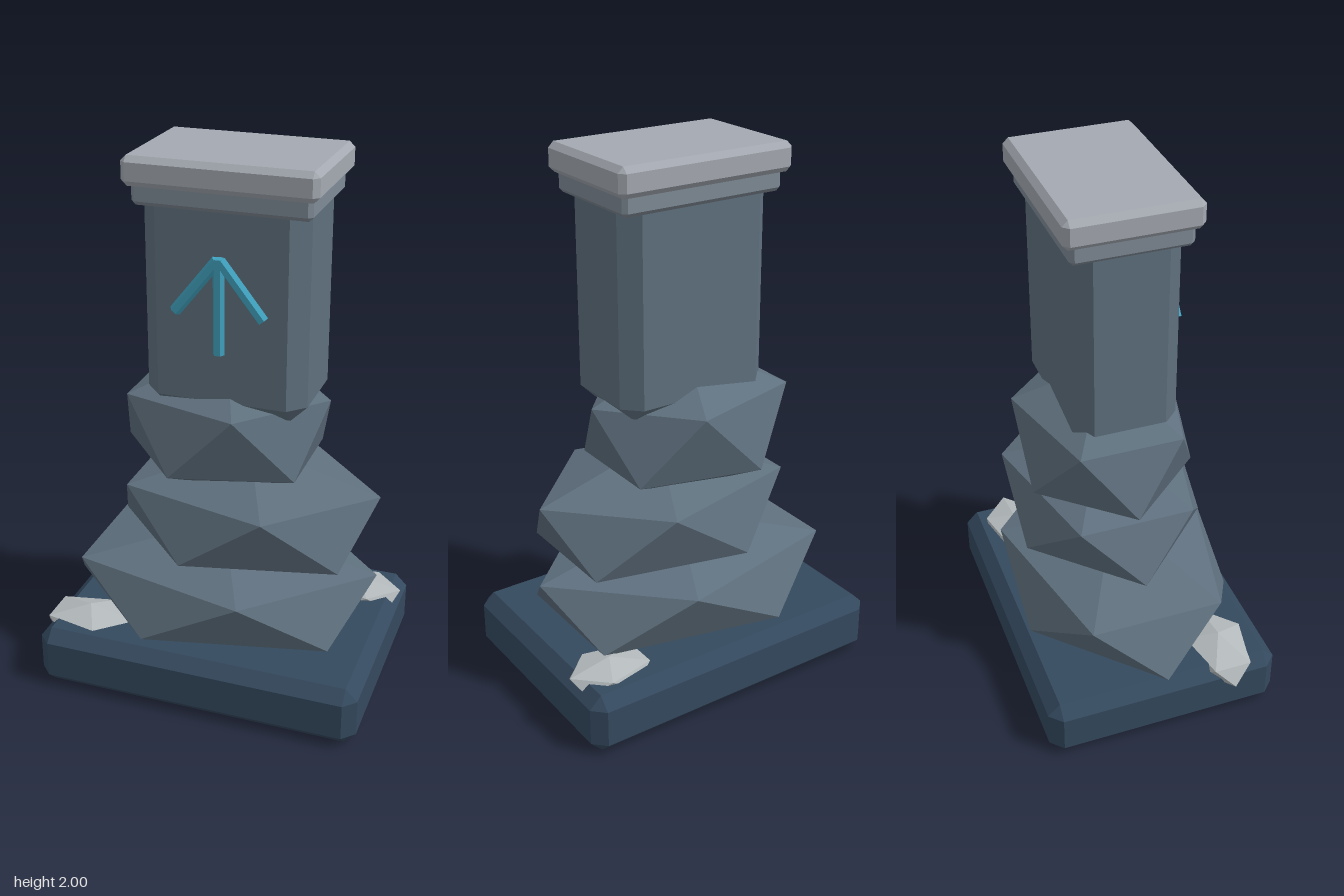
import * as THREE from 'three';
import { ConvexGeometry } from 'three/addons/geometries/ConvexGeometry.js';

const mat = (color) => new THREE.MeshStandardMaterial({ color, flatShading: true });

const slate = mat(0x34495e);
const stone = mat(0x5f707e);
const trim = mat(0x7f8b96);
const capStone = mat(0xa4a9b1);
const pale = mat(0xb4babc);
const glow = mat(0x3fa0bd);

// Box given by its extents, with every edge cut by a flat chamfer c
function chamferBox(name, [x0, x1], [y0, y1], [z0, z1], c, material) {
  const h = [(x1 - x0) / 2, (y1 - y0) / 2, (z1 - z0) / 2];
  const pts = [];
  for (const sx of [-1, 1]) for (const sy of [-1, 1]) for (const sz of [-1, 1]) {
    for (let axis = 0; axis < 3; axis++) {
      const p = h.map((v, i) => (i === axis ? v : v - c));
      pts.push(new THREE.Vector3(sx * p[0], sy * p[1], sz * p[2]));
    }
  }
  const mesh = new THREE.Mesh(new ConvexGeometry(pts), material);
  mesh.name = name;
  mesh.position.set((x0 + x1) / 2, (y0 + y1) / 2, (z0 + z1) / 2);
  return mesh;
}

// Icosahedron standing on a vertex: two poles and two staggered rings of five
function rockGeometry() {
  const pts = [new THREE.Vector3(0, 1, 0), new THREE.Vector3(0, -1, 0)];
  const y = 1 / Math.sqrt(5), r = 2 * y;
  for (let i = 0; i < 5; i++) {
    const a = (i * 2 * Math.PI) / 5;
    pts.push(new THREE.Vector3(r * Math.cos(a), y, r * Math.sin(a)));
    pts.push(new THREE.Vector3(-r * Math.cos(a), -y, r * Math.sin(a)));
  }
  return new ConvexGeometry(pts);
}

// Six-sided rod between two points
function rod(name, from, to, radius) {
  const a = new THREE.Vector3(...from), b = new THREE.Vector3(...to);
  const dir = b.clone().sub(a);
  const geo = new THREE.CylinderGeometry(radius, radius, dir.length(), 6);
  geo.rotateY(Math.PI / 6);
  const mesh = new THREE.Mesh(geo, glow);
  mesh.name = name;
  mesh.position.copy(a).add(b).multiplyScalar(0.5);
  mesh.quaternion.setFromUnitVectors(new THREE.Vector3(0, 1, 0), dir.normalize());
  return mesh;
}

export function createModel() {
  const model = new THREE.Group();
  model.name = 'stonePillar';

  // Plinth
  model.add(chamferBox('base', [-0.6, 0.63], [0, 0.23], [-0.445, 0.445], 0.045, slate));

  // Stacked boulders and the two loose stones: name, centre, radii, material
  const geo = rockGeometry();
  const rocks = [
    ['lowerBoulder', [-0.007, 0.362, 0], [0.667, 0.226, 0.47], stone],
    ['middleBoulder', [0.087, 0.67, -0.016], [0.556, 0.246, 0.406], stone],
    ['upperBoulder', [-0.01, 0.995, -0.043], [0.436, 0.28, 0.356], stone],
    ['looseStoneFront', [-0.455, 0.195, 0.26], [0.2, 0.077, 0.133], pale],
    ['looseStoneBack', [0.47, 0.215, -0.27], [0.18, 0.056, 0.123], pale],
  ];
  for (const [name, centre, radii, material] of rocks) {
    const rock = new THREE.Mesh(geo, material);
    rock.name = name;
    rock.position.set(...centre);
    rock.scale.set(...radii);
    model.add(rock);
  }

  // Shaft, collar and cap
  model.add(chamferBox('shaft', [-0.255, 0.335], [1.09, 1.89], [-0.215, 0.165], 0.06, stone));
  model.add(chamferBox('collar', [-0.273, 0.355], [1.83, 1.915], [-0.235, 0.185], 0.015, trim));
  model.add(chamferBox('cap', [-0.3, 0.38], [1.897, 2], [-0.262, 0.21], 0.02, capStone));

  // Arrow on the front face
  const arrow = new THREE.Group();
  arrow.name = 'arrow';
  const z = 0.187;
  arrow.add(rod('arrowStem', [0.04, 1.34, z], [0.04, 1.68, z], 0.021));
  for (const [side, s] of [['Left', 1], ['Right', -1]]) {
    arrow.add(rod('arrowBarb' + side, [0.04 + s * 0.157, 1.48, z], [0.04 + s * 0.005, 1.672, z], 0.021));
  }
  model.add(arrow);

  return model;
}
